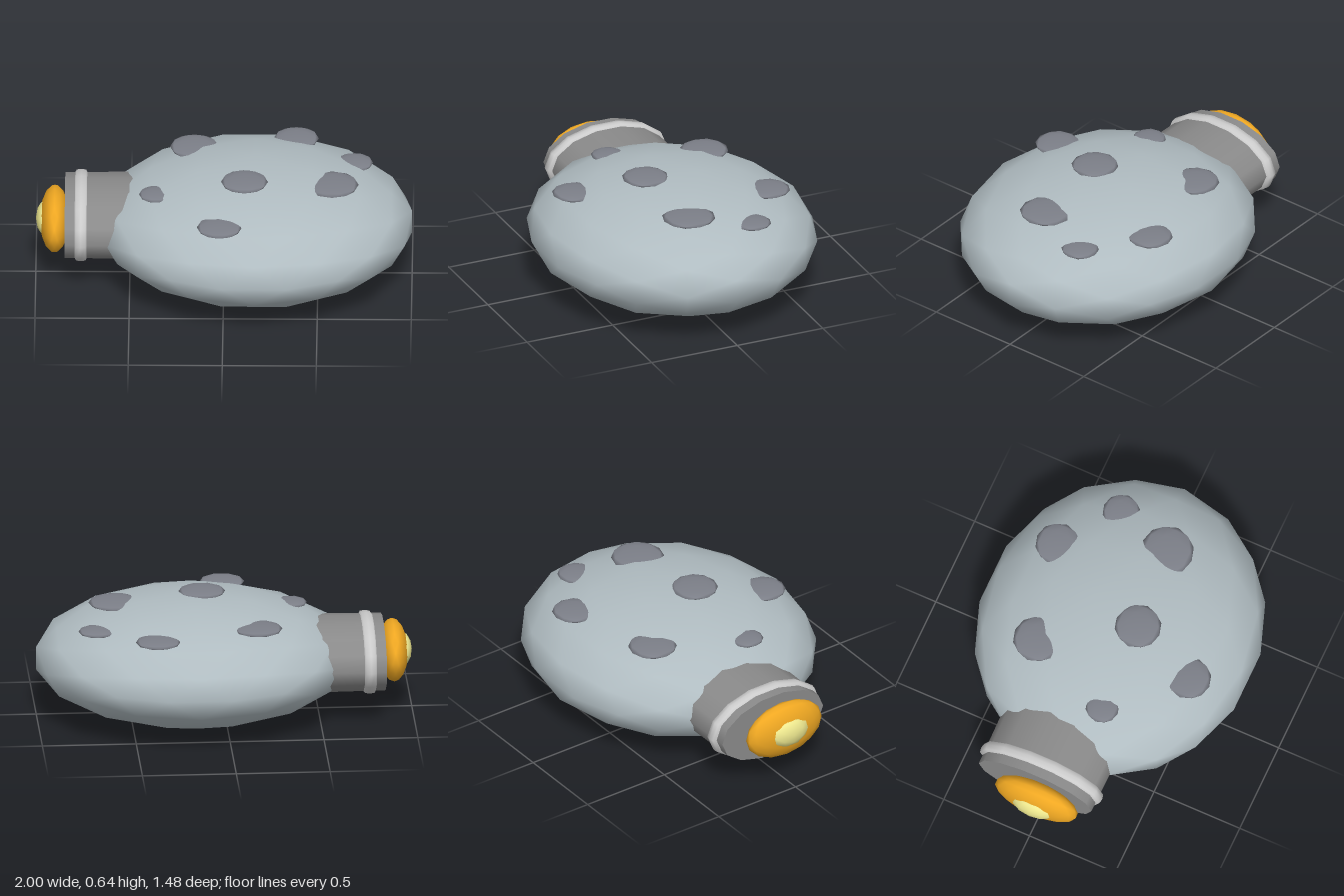
import * as THREE from 'three';

const material = (color) => new THREE.MeshStandardMaterial({ color });
const hull = material(0xb0bcc1), crater = material(0x7c7f88), dark = material(0x8a8a8a);
const light = material(0xcccccc), orange = material(0xf0a822), yellow = material(0xf0ea90);

// Smooth low-poly ellipsoid fitted exactly to a centre and three radii
function ellipsoid(name, mat, detail, centre, radii) {
  const g = new THREE.IcosahedronGeometry(1, detail).rotateY(Math.PI / 2);
  g.computeBoundingBox();
  const m = g.boundingBox.max;
  g.scale(radii[0] / m.x, radii[1] / m.y, radii[2] / m.z);
  const mesh = new THREE.Mesh(g, mat);
  mesh.name = name;
  mesh.position.set(...centre);
  return mesh;
}

// Turned surface along x with an oval section; profile is [radius, x] from rear to front
function turned(name, mat, profile) {
  const g = new THREE.LatheGeometry(profile.map(([r, x]) => new THREE.Vector2(r, x)), 14);
  g.rotateZ(-Math.PI / 2).scale(1, 0.19, 0.335);
  const mesh = new THREE.Mesh(g, mat);
  mesh.name = name;
  mesh.position.set(0, 0.328, -0.038);
  return mesh;
}

export function createModel() {
  const model = new THREE.Group();
  model.name = 'rockPod';

  // Flattened rocky body
  model.add(ellipsoid('body', hull, 2, [0.165, 0.32, 0], [0.835, 0.316, 0.742]));

  // Shallow craters: x, y, z, radius
  const craters = [
    [-0.16, 0.58, -0.335, 0.13], [0.38, 0.562, -0.46, 0.12], [0.69, 0.547, -0.23, 0.1],
    [0.575, 0.594, 0.09, 0.142], [0.11, 0.632, 0.13, 0.125], [-0.36, 0.556, 0.135, 0.09],
    [-0.02, 0.555, 0.485, 0.12],
  ];
  for (const [x, y, z, r] of craters) {
    model.add(ellipsoid('crater', crater, 1, [x, y, z], [r, 0.017, r]));
  }

  // Engine barrel, its end plate and its raised band
  model.add(turned('engineBarrel', dark, [[0.98, -0.845], [1, -0.4]]));
  model.add(turned('engineEndPlate', dark, [[0, -0.845], [0.98, -0.845]]));
  model.add(turned('engineBand', light,
    [[0.96, -0.795], [1.04, -0.785], [1.055, -0.76], [1.04, -0.735], [0.96, -0.725]]));

  // Exhaust glow with a bright core
  model.add(ellipsoid('exhaustGlow', orange, 2, [-0.9, 0.325, -0.005], [0.077, 0.155, 0.235]));
  model.add(ellipsoid('exhaustCore', yellow, 1, [-0.95, 0.33, -0.005], [0.05, 0.085, 0.12]));
  return model;
}
